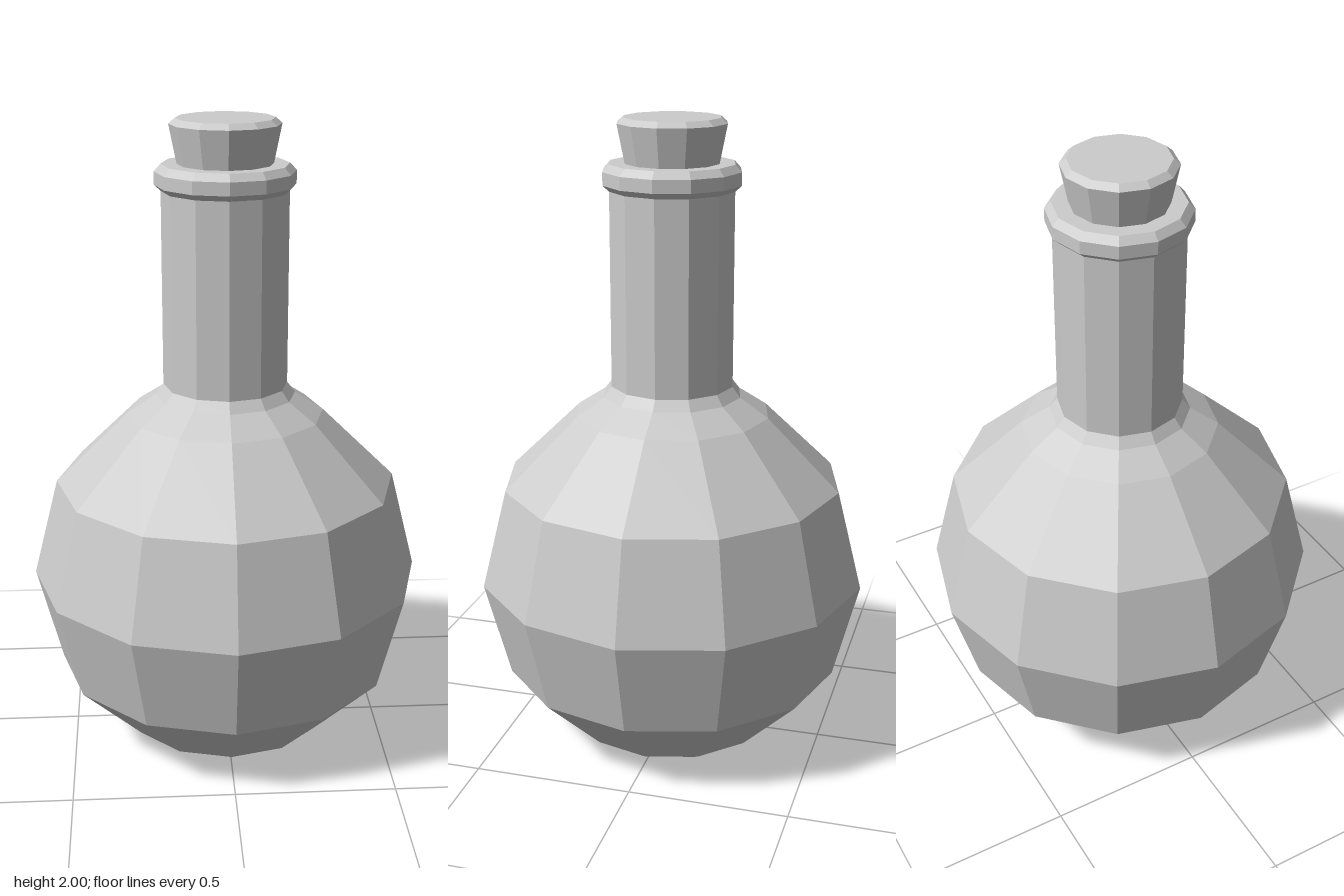
import * as THREE from 'three';

const SIDES = 12;
const material = new THREE.MeshStandardMaterial({ color: 0xcccccc, flatShading: true });

// Faceted turned part from [radius, height] pairs, listed bottom to top
function turned(name, profile) {
  const points = profile.map(([r, y]) => new THREE.Vector2(r, y));
  const mesh = new THREE.Mesh(new THREE.LatheGeometry(points, SIDES), material);
  mesh.name = name;
  return mesh;
}

export function createModel() {
  const flask = new THREE.Group();
  flask.name = 'corkedFlask';

  // Round belly with a bevelled flat base and a shoulder flaring into the neck
  flask.add(turned('belly', [
    [0, 0], [0.285, 0], [0.33, 0.027], [0.54, 0.235], [0.62, 0.545],
    [0.54, 0.86], [0.31, 1.085], [0.22, 1.145], [0.195, 1.178],
  ]));

  // Straight neck
  flask.add(turned('neck', [[0.195, 1.178], [0.195, 1.785]]));

  // Bevelled lip, closed inward under the cork
  flask.add(turned('lip', [
    [0.19, 1.78], [0.215, 1.803], [0.215, 1.843], [0.195, 1.865], [0.13, 1.865],
  ]));

  // Tapered cork with a bevelled top
  flask.add(turned('cork', [
    [0, 1.8], [0.133, 1.8], [0.17, 1.983], [0.15, 2], [0, 2],
  ]));

  return flask;
}
